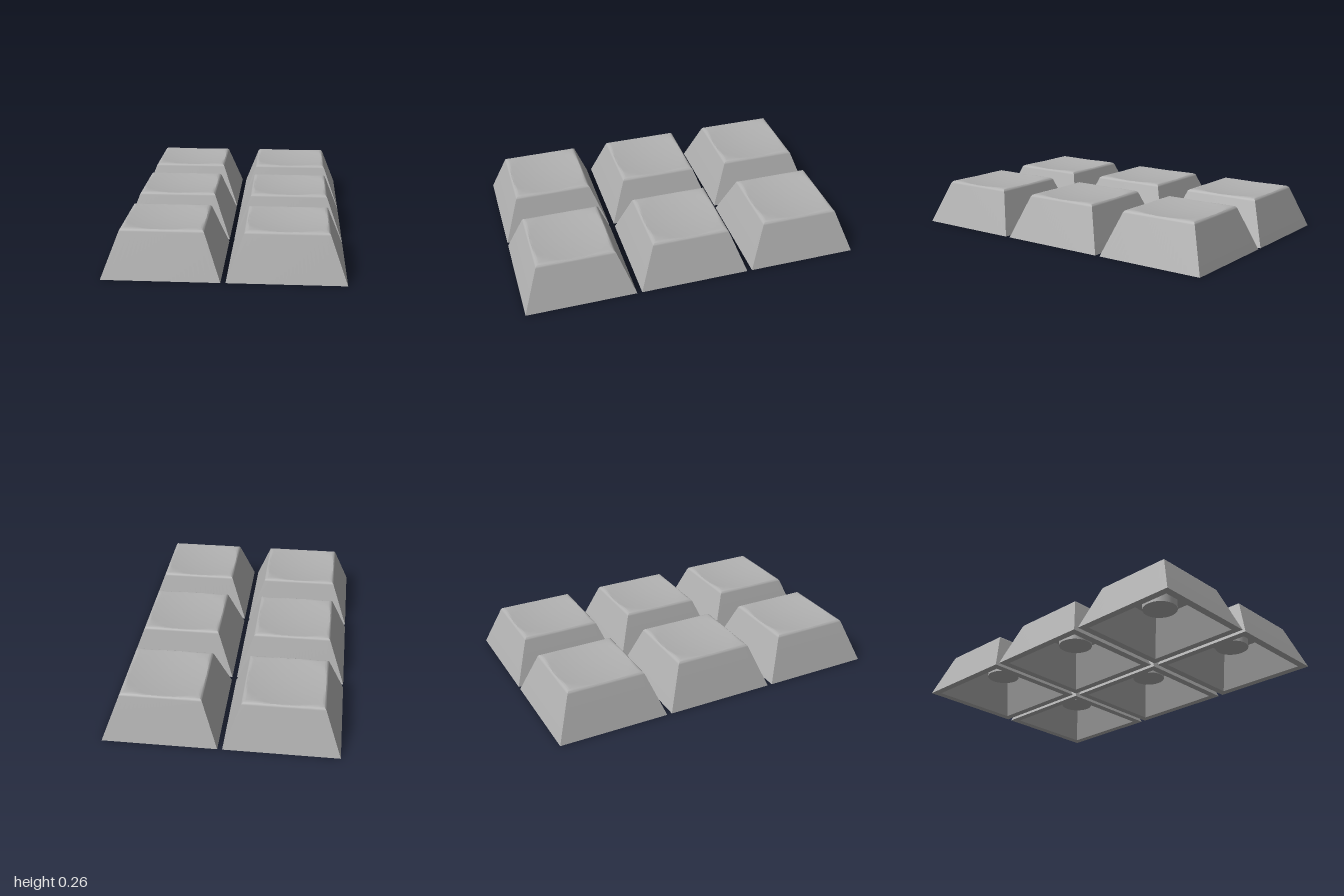
import * as THREE from 'three';
import { toCreasedNormals } from 'three/addons/utils/BufferGeometryUtils.js';

const BASE = 0.3235, TOP = 0.262, CEILING = 0.215;
const SIDES = 96; // multiple of 8, so that the square corners are hit exactly

// Square section through the cap: [half width, height], from the ceiling inside to the dish on top
function capProfile() {
  const rings = [[0, CEILING], [0.2, CEILING], [0.28, 0], [BASE, 0], [0.2325, 0.241]];
  // rounded shoulder, tangent to the sloping wall and the top
  const radius = 0.026, cx = 0.2067, cy = TOP - radius;
  for (let i = 0; i <= 7; i++) {
    const a = THREE.MathUtils.degToRad(20.5 + (69.5 * i) / 7);
    rings.push([cx + radius * Math.cos(a), cy + radius * Math.sin(a)]);
  }
  for (const d of [0.195, 0.18, 0.16, 0.13, 0.1, 0.07, 0.035, 0]) rings.push([d, TOP]);
  return rings;
}

// Hollow keycap with a shallow spherical dish pressed into its top
function capGeometry() {
  const rings = capProfile();
  const point = (i, j) => {
    const a = (j / SIDES) * Math.PI * 2;
    const m = Math.max(Math.abs(Math.cos(a)), Math.abs(Math.sin(a)));
    const [d, y] = rings[i];
    const x = (d * Math.cos(a)) / m, z = (d * Math.sin(a)) / m;
    const dish = 0.244 + (x * x + z * z) / 3.5;
    return [x, Math.min(y, dish), z];
  };
  const positions = [];
  for (let i = 0; i < rings.length - 1; i++) {
    for (let j = 0; j < SIDES; j++) {
      const a = point(i, j), b = point(i, j + 1);
      const c = point(i + 1, j), d = point(i + 1, j + 1);
      if (rings[i][0] > 0) positions.push(...a, ...c, ...b);
      if (rings[i + 1][0] > 0) positions.push(...b, ...c, ...d);
    }
  }
  const geometry = new THREE.BufferGeometry();
  geometry.setAttribute('position', new THREE.Float32BufferAttribute(positions, 3));
  return toCreasedNormals(geometry, THREE.MathUtils.degToRad(35));
}

export function createModel() {
  const plastic = new THREE.MeshStandardMaterial({ color: 0xb0b0b0 });
  plastic.name = 'grey plastic';

  const cap = capGeometry();
  const stemBottom = 0.12, stemHeight = CEILING - stemBottom;
  const stem = new THREE.CylinderGeometry(0.1, 0.1, stemHeight, 40);
  stem.translate(0, stemBottom + stemHeight / 2, 0);

  // Two columns by three rows of identical keycaps
  const model = new THREE.Group();
  model.name = 'keycaps';
  for (const x of [-0.337, 0.337]) {
    for (const z of [-0.6765, 0, 0.6765]) {
      const key = new THREE.Group();
      key.name = 'keycap';
      const shell = new THREE.Mesh(cap, plastic);
      shell.name = 'shell';
      const post = new THREE.Mesh(stem, plastic);
      post.name = 'stem';
      key.add(shell, post);
      key.position.set(x, 0, z);
      model.add(key);
    }
  }
  return model;
}
